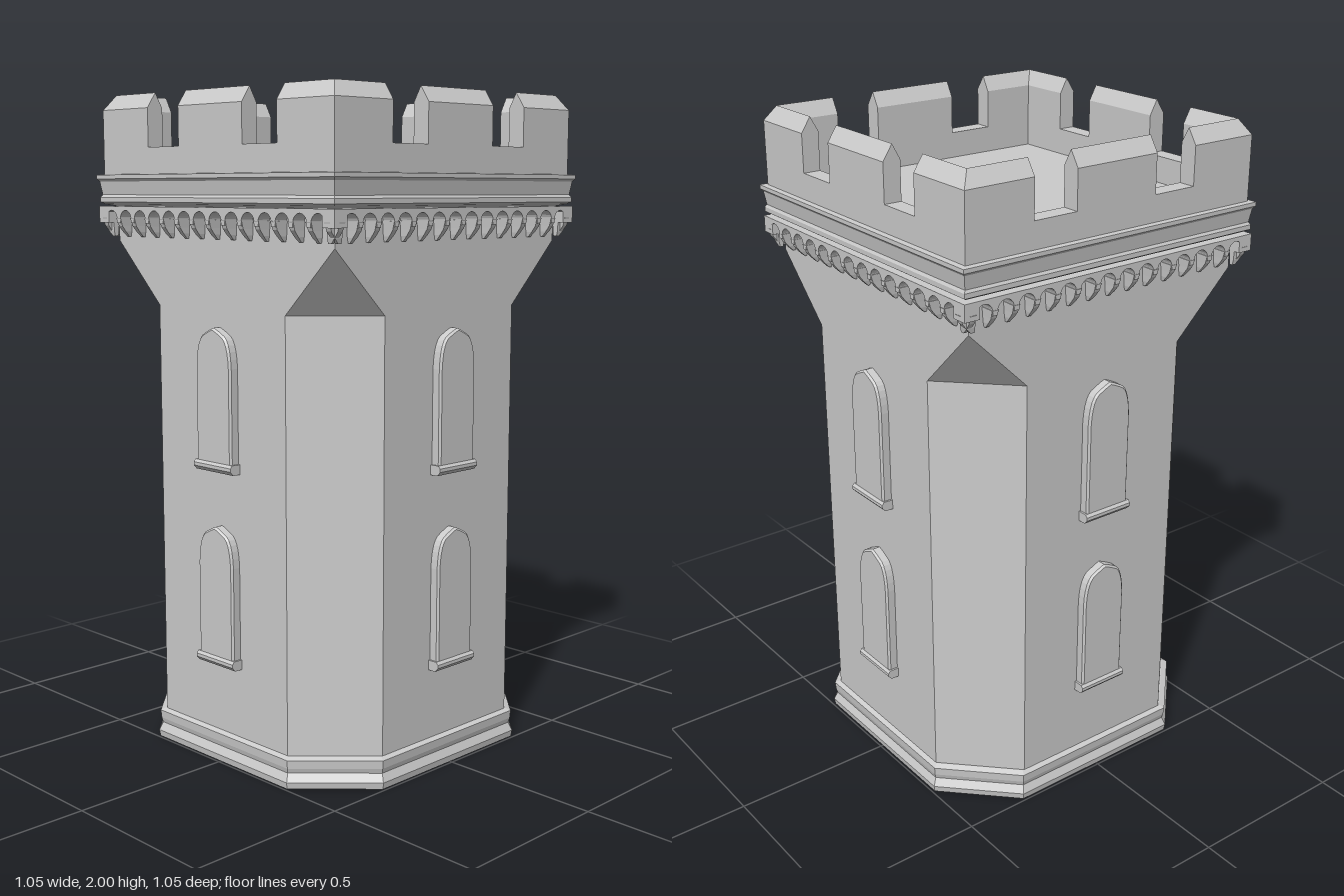
import * as THREE from 'three';

const mat = new THREE.MeshStandardMaterial({ color: 0xcccccc, flatShading: true });

const WALL = 0.475, CORNER = 0.28; // wall distance, half width of a face

function add(parent, name, geo, x = 0, y = 0, z = 0) {
  const m = new THREE.Mesh(geo, mat);
  m.name = name;
  m.position.set(x, y, z);
  parent.add(m);
  return m;
}

// Surface through closed cross-sections, with optional flat ends
function loft(rings, caps = true) {
  const pos = [], tri = (a, b, c) => pos.push(...a, ...b, ...c);
  const n = rings[0].length, last = rings[rings.length - 1];
  for (let i = 0; i + 1 < rings.length; i++)
    for (let j = 0; j < n; j++) {
      const k = (j + 1) % n;
      tri(rings[i][j], rings[i][k], rings[i + 1][k]);
      tri(rings[i][j], rings[i + 1][k], rings[i + 1][j]);
    }
  if (caps)
    for (let j = 1; j + 1 < n; j++) {
      tri(rings[0][0], rings[0][j + 1], rings[0][j]);
      tri(last[0], last[j], last[j + 1]);
    }
  return fromPositions(pos);
}

function fromPositions(pos) {
  const g = new THREE.BufferGeometry();
  g.setAttribute('position', new THREE.Float32BufferAttribute(pos, 3));
  g.computeVertexNormals();
  return g;
}

const square = (h, y) => [[-h, y, h], [h, y, h], [h, y, -h], [-h, y, -h]];
const octagon = (h, c, y) => [[-c, y, h], [c, y, h], [h, y, c], [h, y, -c],
  [c, y, -h], [-c, y, -h], [-h, y, -c], [-h, y, c]];

function extrude(shape, depth, bevel = 0) {
  return new THREE.ExtrudeGeometry(shape, {
    depth, curveSegments: 6, bevelEnabled: bevel > 0,
    bevelSize: bevel, bevelThickness: bevel, bevelOffset: -bevel, bevelSegments: 1
  });
}

// Pointed arch outline: half width w, from y0, springing at y1, peak at y2
function archPath(P, w, y0, y1, y2) {
  const p = new P(), s = y1 + (y2 - y1) * 0.75;
  p.moveTo(-w, y0);
  p.lineTo(w, y0);
  p.lineTo(w, y1);
  p.quadraticCurveTo(w * 0.95, s, w * 0.5, s + (y2 - s) * 0.4);
  p.quadraticCurveTo(w * 0.2, y2 - 0.005, 0, y2);
  p.quadraticCurveTo(-w * 0.2, y2 - 0.005, -w * 0.5, s + (y2 - s) * 0.4);
  p.quadraticCurveTo(-w * 0.95, s, -w, y1);
  p.lineTo(-w, y0);
  return p;
}

// Cusped opening: side lobes below a pointed upper lobe
function trefoilPath() {
  const p = new THREE.Path();
  p.moveTo(-0.046, 0.02);
  p.lineTo(0.046, 0.02);
  p.lineTo(0.046, 0.315);
  p.quadraticCurveTo(0.046, 0.345, 0.024, 0.347);
  p.quadraticCurveTo(0.036, 0.38, 0, 0.403);
  p.quadraticCurveTo(-0.036, 0.38, -0.024, 0.347);
  p.quadraticCurveTo(-0.046, 0.345, -0.046, 0.315);
  p.lineTo(-0.046, 0.02);
  return p;
}

function createWindow() {
  const g = new THREE.Group();
  g.name = 'window';
  const frame = archPath(THREE.Shape, 0.077, 0.01, 0.31, 0.425);
  frame.holes.push(archPath(THREE.Path, 0.058, 0.02, 0.31, 0.408));
  add(g, 'windowFrame', extrude(frame, 0.035, 0.006), 0, 0, -0.011);
  const tracery = archPath(THREE.Shape, 0.062, 0.012, 0.31, 0.412);
  tracery.holes.push(trefoilPath());
  add(g, 'tracery', extrude(tracery, 0.037), 0, 0, -0.022);
  add(g, 'windowPane', new THREE.ShapeGeometry(archPath(THREE.Shape, 0.062, 0.012, 0.31, 0.41)), 0, 0, -0.02);
  // Sill with a slanted underside
  const sill = (y, d) => [[-0.083, y, d], [0.083, y, d], [0.083, y, -0.01], [-0.083, y, -0.01]];
  add(g, 'windowSill', loft([sill(0, 0.026), sill(0.012, 0.037), sill(0.022, 0.037), sill(0.03, 0.03)]));
  return g;
}

const WINDOW_Y = [0.305, 0.895];

function createSide() {
  const side = new THREE.Group();
  side.name = 'towerSide';

  // Wall face, widening to the full square below the arcade
  const wall = new THREE.Shape([[-CORNER, 0.04], [CORNER, 0.04], [CORNER, 1.37], [WALL, 1.56],
    [WALL, 1.68], [-WALL, 1.68], [-WALL, 1.56], [-CORNER, 1.37]].map(p => new THREE.Vector2(...p)));
  for (const y of WINDOW_Y) {
    wall.holes.push(archPath(THREE.Path, 0.06, y + 0.012, y + 0.31, y + 0.41));
    const w = createWindow();
    w.position.set(0, y, WALL);
    side.add(w);
  }
  add(side, 'wall', new THREE.ShapeGeometry(wall), 0, 0, WALL);

  // Chamfered corner and the triangle that closes it
  const A = [CORNER, 0.04, WALL], B = [WALL, 0.04, CORNER], C = [WALL, 1.37, CORNER],
    D = [CORNER, 1.37, WALL], E = [WALL, 1.56, WALL];
  add(side, 'cornerChamfer', fromPositions([A, B, C, A, C, D, D, C, E].flat()));

  // Small blind arcade on tapered corbels
  const step = 0.07, r = 0.027, h = 0.518;
  const band = new THREE.Shape();
  band.moveTo(-h, 1.665);
  band.lineTo(-h, 1.615);
  for (let i = -7; i < 7; i++) {
    const x = (i + 0.5) * step;
    band.lineTo(x - r, 1.615);
    band.absarc(x, 1.626, r, Math.PI, 0, true);
    band.lineTo(x + r, 1.615);
  }
  band.lineTo(h, 1.615);
  band.lineTo(h, 1.665);
  add(side, 'arcadeBand', extrude(band, h - WALL + 0.005), 0, 0, WALL - 0.005);
  const tier = (w, y, d) => [[-w, y, d], [w, y, d], [w, y, 0.47], [-w, y, 0.47]];
  const corbel = loft([tier(0.005, 1.573, 0.482), tier(0.008, 1.588, 0.497),
    tier(0.009, 1.606, 0.511), tier(0.011, 1.63, 0.519)]);
  for (let i = -7; i <= 7; i++) add(side, 'corbel', corbel, i * step);

  // Merlons with ridged tops: one in the middle, one around the corner
  const profile = [[0.505, 1.84], [0.45, 1.84], [0.45, 1.955], [0.475, 2], [0.505, 1.955]];
  const at = x => profile.map(([d, y]) => [x, y, d]);
  add(side, 'middleMerlon', loft([at(-0.14), at(0.14)]));
  add(side, 'cornerMerlon', loft([at(0.283), profile.map(([d, y]) => [d, y, d]),
    profile.map(([d, y]) => [d, y, 0.283])]));
  return side;
}

export function createModel() {
  const tower = new THREE.Group();
  tower.name = 'tower';

  // Moulded eight-sided base
  add(tower, 'plinth', loft([[0.492, 0], [0.495, 0.02], [0.484, 0.045], [0.488, 0.06], [0.49, 0.085], [0.475, 0.092]]
    .map(([s, y]) => octagon(s, s * 0.6, y))));

  for (let i = 0; i < 4; i++) {
    const side = createSide();
    side.rotation.y = i * Math.PI / 2;
    tower.add(side);
  }

  // Cornice moulding
  add(tower, 'cornice', loft([[0.47, 1.663], [0.505, 1.672], [0.515, 1.678], [0.515, 1.692], [0.51, 1.7],
    [0.516, 1.74], [0.523, 1.748], [0.523, 1.76], [0.5, 1.762]].map(([s, y]) => square(s, y)), false));

  // Parapet wall and the roof floor inside it
  add(tower, 'parapet', loft([square(0.505, 1.755), square(0.505, 1.84), square(0.45, 1.84), square(0.45, 1.76)], false));
  const floor = add(tower, 'roofFloor', new THREE.PlaneGeometry(0.9, 0.9), 0, 1.76, 0);
  floor.rotation.x = -Math.PI / 2;
  return tower;
}
